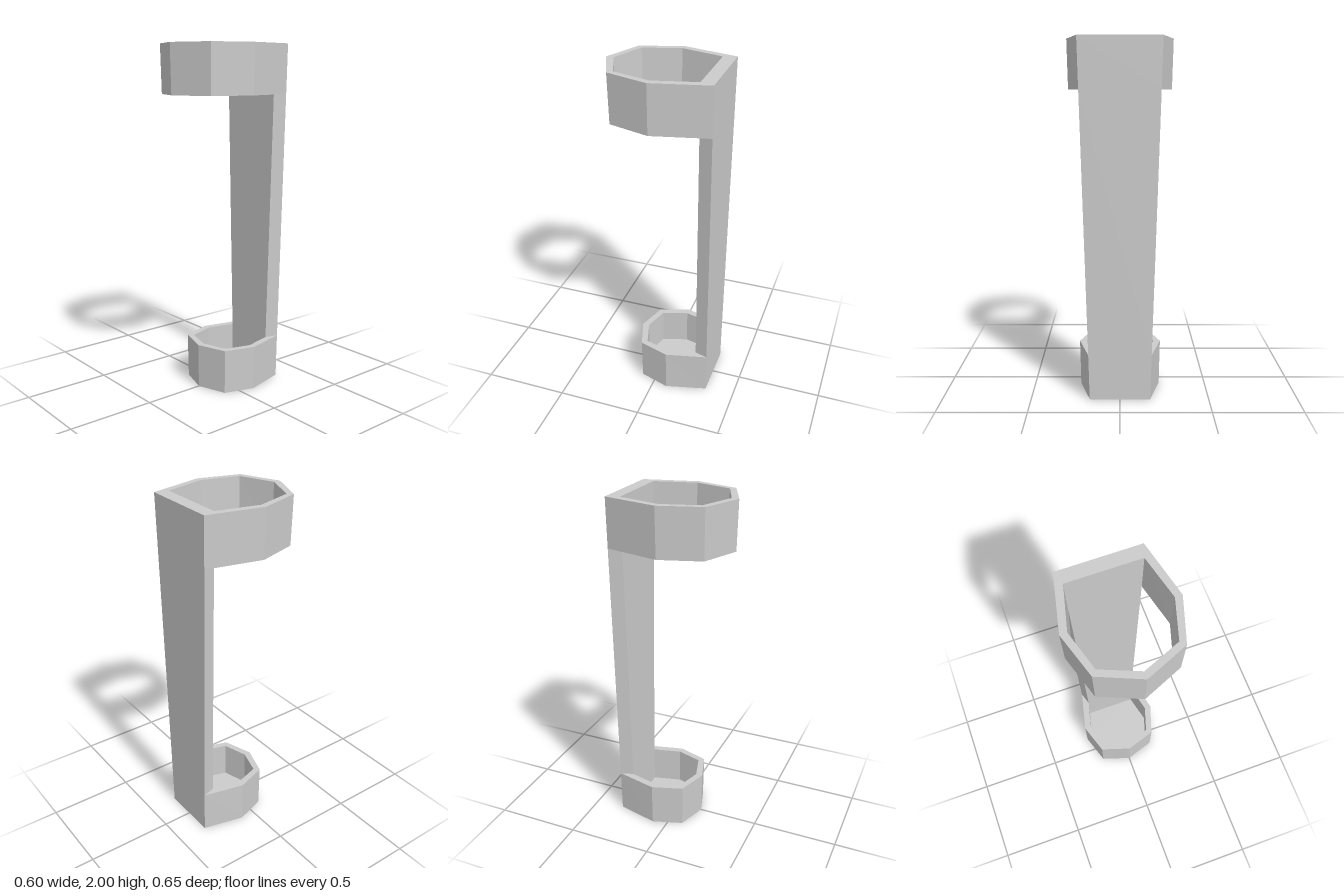
import * as THREE from 'three';

const BACK = -0.327, INNER_BACK = -0.252;

// Mirrors half an outline ([x, z], back corner to front tip) into a closed heptagon at height y
function outline(y, half) {
  const mirrored = half.slice(0, -1).reverse().map(([x, z]) => [-x, z]);
  return [...half, ...mirrored].map(([x, z]) => [x, y, z]);
}

// Strip of quads joining two loops; count can leave the last (back) side open
function band(a, b, count = a.length) {
  const out = [];
  for (let i = 0; i < count; i++) {
    const j = (i + 1) % a.length;
    out.push(a[i], b[i], b[j], a[i], b[j], a[j]);
  }
  return out;
}

// Flat cap over a convex loop
function cap(loop, up) {
  const out = [];
  for (let i = 1; i < loop.length - 1; i++) {
    out.push(loop[0], loop[up ? i + 1 : i], loop[up ? i : i + 1]);
  }
  return out;
}

function addPart(group, name, points) {
  const geometry = new THREE.BufferGeometry();
  geometry.setAttribute('position', new THREE.Float32BufferAttribute(points.flat(), 3));
  geometry.computeVertexNormals();
  const material = new THREE.MeshStandardMaterial({ color: 0xcccccc, flatShading: true });
  const mesh = new THREE.Mesh(geometry, material);
  mesh.name = name;
  group.add(mesh);
}

export function createModel() {
  const group = new THREE.Group();
  group.name = 'tubeHolder';

  // Upper holding ring, open at both ends; its underside meets the back plate
  const ringOuterLow = outline(1.72, [[0.219, BACK], [0.294, -0.01], [0.221, 0.227], [0, 0.321]]);
  const ringOuterTop = outline(2, [[0.227, BACK], [0.301, -0.01], [0.227, 0.231], [0, 0.327]]);
  const ringInnerTop = outline(2, [[0.202, INNER_BACK], [0.262, -0.01], [0.2, 0.204], [0, 0.286]]);
  const ringInnerLow = outline(1.72, [[0.196, INNER_BACK], [0.255, -0.01], [0.193, 0.198], [0, 0.279]]);
  addPart(group, 'upperRing', [
    ...band(ringOuterLow, ringOuterTop),
    ...band(ringOuterTop, ringInnerTop),
    ...band(ringInnerTop, ringInnerLow),
    ...band(ringInnerLow, ringOuterLow, 6),
  ]);

  // Lower cup with a closed floor; its rim meets the back plate
  const cupOuterLow = outline(0, [[0.17, BACK], [0.23, -0.087], [0.173, 0.087], [0, 0.143]]);
  const cupOuterTop = outline(0.26, [[0.177, BACK], [0.235, -0.087], [0.177, 0.09], [0, 0.147]]);
  const cupInner = [[0.154, INNER_BACK], [0.195, -0.087], [0.149, 0.062], [0, 0.107]];
  const cupInnerTop = outline(0.26, cupInner);
  const cupFloor = outline(0.04, cupInner);
  addPart(group, 'lowerCup', [
    ...band(cupOuterLow, cupOuterTop),
    ...band(cupOuterTop, cupInnerTop, 6),
    ...band(cupInnerTop, cupFloor),
    ...cap(cupFloor, true),
    ...cap(cupOuterLow, false),
  ]);

  // Tapered back plate between cup and ring, sharing their back corners
  const plateLoop = (inner, outer) => [inner[0], inner[6], outer[6], outer[0]];
  addPart(group, 'backPlate', band(
    plateLoop(cupInnerTop, cupOuterTop),
    plateLoop(ringInnerLow, ringOuterLow),
  ));

  return group;
}
